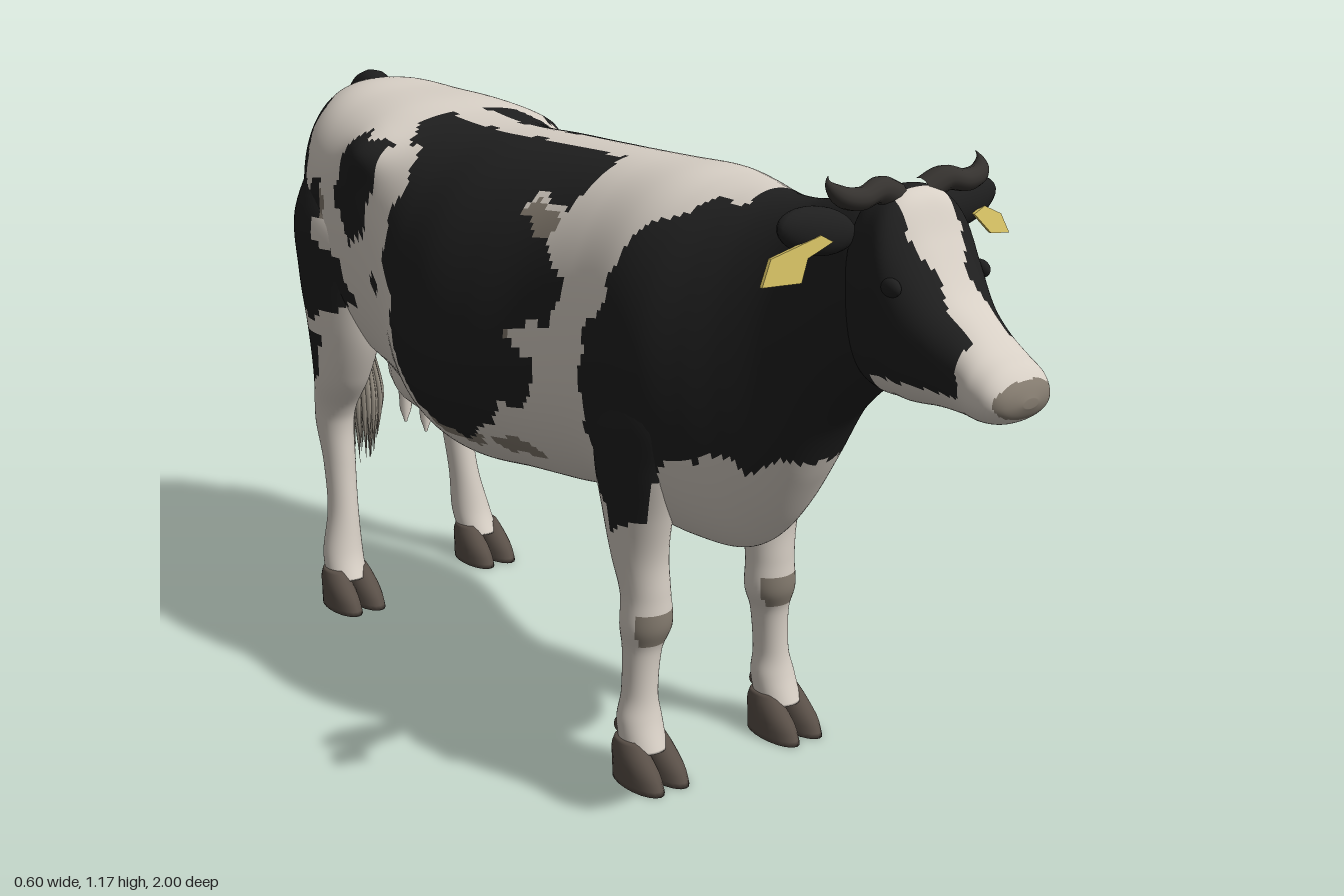
import * as THREE from 'three';

const mat = (name, color) => Object.assign(new THREE.MeshStandardMaterial({ color }), { name });
const white = mat('white hide', 0xd6cec4), black = mat('black hide', 0x1f1f1f), grey = mat('grey skin', 0x847b6f);
const hoofMat = mat('hoof horn', 0x5a5048), tagMat = mat('yellow tag', 0xcdb95f);
const hairMat = mat('tail hair', 0xa0988b), hornMat = mat('dark horn', 0x35322f);
const hide = [white, black, grey];
const W = 0, B = 1, G = 2;

// Coat patches as outlines in side projection: [z, y]
const patches = [
  // neck and shoulder
  [[.8, 1.3], [.44, 1.3], [.42, 1.07], [.35, 1.06], [.25, .98], [.25, .9], [.2, .82], [.19, .74], [.2, .58], [.25, .48],
    [.31, .5], [.34, .57], [.4, .55], [.46, .62], [.54, .65], [.8, .6]],
  // flank
  [[.08, 1.2], [-.5, 1.2], [-.5, 1.06], [-.42, 1.03], [-.4, .98], [-.41, .82], [-.34, .77], [-.35, .69], [-.28, .58],
    [-.16, .54], [-.1, .57], [-.02, .64], [.04, .65], [.07, .74], [-.02, .78], [.01, .8], [.11, .82], [.13, .9],
    [.06, .94], [-.04, .98], [-.02, 1.02], [.08, 1.0]],
  // hip
  [[-.48, 1.03], [-.56, 1.05], [-.61, 1], [-.63, .9], [-.58, .82], [-.53, .85], [-.49, .93]],
  // rump and thigh
  [[-.6, .7], [-.64, .77], [-.72, .82], [-.7, .88], [-.68, .95], [-.75, .9], [-.8, 1], [-.83, 1.07], [-.95, 1.07],
    [-.95, .62], [-.8, .66], [-.75, .63], [-.68, .66]],
  // above the hock
  [[-.72, .6], [-.9, .61], [-.9, .45], [-.79, .47], [-.75, .53]],
];
const greySpots = [[.01, .975, .05, .03], [-.04, .79, .04, .02], [-.02, .555, .06, .018], [-.17, .55, .07, .018], [-.7, .9, .02, .04]];

function inside(poly, z, y) {
  let hit = false;
  poly.forEach(([az, ay], i) => {
    const [bz, by] = poly[(i + 1) % poly.length];
    if ((ay > y) !== (by > y) && z < az + (bz - az) * (y - ay) / (by - ay)) hit = !hit;
  });
  return hit;
}

function coat(p) {
  const z = p.z + .006 * Math.sin(p.y * 70), y = p.y + .006 * Math.sin(p.z * 80), x = Math.abs(p.x);
  // spine, between the thighs, and fronts of the forelegs stay white
  if (x < .04 + .006 * Math.sin(p.z * 40) && p.y > 1 && z < .4 && z > -.87) return W;
  if (z < -.6 && ((y < .95 && x < .075) || (y < .62 && x < .15))) return W;
  if (z > .2 && y < .63 + .02 * Math.cos(x * 45) && x < .185) return W;
  if (Math.hypot(z + .48, y - .765) < .02) return B;
  if (patches.some(q => inside(q, z, y))) return B;
  return greySpots.some(([a, b, r, s]) => ((z - a) / r) ** 2 + ((y - b) / s) ** 2 < 1) ? G : W;
}

// Smooth interpolation through the rows of a table
function sample(table, u) {
  const f = Math.min(u * (table.length - 1), table.length - 1.000001), i = Math.floor(f), t = f - i;
  const row = k => table[Math.max(0, Math.min(table.length - 1, k))];
  return table[0].map((_, c) => {
    const [a, b, d, e] = [row(i - 1)[c], row(i)[c], row(i + 1)[c], row(i + 2)[c]];
    return b + .5 * t * (d - a + t * (2 * a - 5 * b + 4 * d - e + t * (3 * (b - d) + e - a)));
  });
}

// Closed skin over a rows x cols grid, painted cell by cell
function skin(name, rows, cols, point, paint, materials) {
  const pts = [], faces = materials.map(() => []);
  for (let i = 0; i <= rows; i++) for (let j = 0; j < cols; j++) pts.push(point(i / rows, j / cols * Math.PI * 2));
  const ends = [0, rows].map(i => {
    const c = new THREE.Vector3();
    for (let j = 0; j < cols; j++) c.addScaledVector(pts[i * cols + j], 1 / cols);
    return pts.push(c) - 1;
  });
  let volume = 0;
  const v = new THREE.Vector3();
  const cell = (...corners) => {
    const centre = new THREE.Vector3();
    corners.forEach(c => centre.addScaledVector(pts[c], 1 / corners.length));
    const list = faces[paint(centre)];
    for (let n = 2; n < corners.length; n++) {
      const [a, b, c] = [corners[0], corners[n - 1], corners[n]];
      volume += pts[a].dot(v.crossVectors(pts[b], pts[c]));
      list.push([a, b, c]);
    }
  };
  for (let j = 0; j < cols; j++) {
    const k = (j + 1) % cols;
    for (let i = 0; i < rows; i++) cell(i * cols + j, i * cols + k, (i + 1) * cols + k, (i + 1) * cols + j);
    cell(ends[0], k, j);
    cell(ends[1], rows * cols + j, rows * cols + k);
  }
  const geo = new THREE.BufferGeometry().setFromPoints(pts), index = [];
  faces.forEach((list, m) => {
    geo.addGroup(index.length, list.length * 3, m);
    list.forEach(([a, b, c]) => index.push(...(volume > 0 ? [a, b, c] : [a, c, b])));
  });
  geo.setIndex(index);
  geo.computeVertexNormals();
  const mesh = new THREE.Mesh(geo, materials);
  mesh.name = name;
  return mesh;
}

const pow = (n, e) => Math.sign(n) * Math.abs(n) ** e;

// Cross-sections along z: [z, top, bottom, half width, height of widest point, roundness]
const along = (table, bump) => (u, a) => {
  const [z, top, bot, w, mid, e] = sample(table, u), s = Math.sin(a);
  const p = new THREE.Vector3(w * pow(Math.cos(a), e), mid + (s > 0 ? top - mid : mid - bot) * pow(s, e), z);
  return bump ? bump(p) : p;
};
// Cross-sections down a limb: [y, x, z, half width, half depth]
const down = (table, side, shift = 0) => (u, a) => {
  const [y, x, z, hx, hz] = sample(table, u);
  return new THREE.Vector3(side * (x + hx * Math.cos(a)), y, z + hz * Math.sin(a) + shift * (1 - THREE.MathUtils.smoothstep(y, .3, .75)));
};

// Tube through points, radius interpolated along a list
function tapered(name, points, radii, material, n = 24, sides = 12) {
  const curve = new THREE.CatmullRomCurve3(points.map(p => new THREE.Vector3(...p)));
  const geo = new THREE.TubeGeometry(curve, n, 1, sides), pos = geo.attributes.position, p = new THREE.Vector3();
  for (let k = 0; k < pos.count; k++) {
    const u = Math.floor(k / (sides + 1)) / n, c = curve.getPointAt(u);
    p.fromBufferAttribute(pos, k).sub(c).multiplyScalar(sample(radii.map(r => [r]), u)[0]).add(c);
    pos.setXYZ(k, p.x, p.y, p.z);
  }
  const mesh = new THREE.Mesh(geo, material);
  mesh.name = name;
  return mesh;
}

function ball(name, material, [x, y, z], [sx, sy, sz], tilt = 0) {
  const mesh = new THREE.Mesh(new THREE.SphereGeometry(1, 20, 14), material);
  mesh.name = name;
  mesh.position.set(x, y, z);
  mesh.scale.set(sx, sy, sz);
  mesh.rotation.z = tilt;
  return mesh;
}

const bodyTable = [[-.905, 1, .95, .02, .98, 1], [-.9, 1.05, .85, .075, .97, .95], [-.87, 1.085, .72, .15, .92, .9],
  [-.8, 1.1, .6, .205, .88, .85], [-.7, 1.095, .54, .23, .9, .82], [-.58, 1.09, .5, .232, .92, .8], [-.46, 1.075, .46, .245, .82, .85],
  [-.34, 1.07, .435, .285, .73, .95], [-.22, 1.075, .435, .302, .7, .95], [-.1, 1.08, .45, .283, .7, .95], [.02, 1.085, .46, .25, .72, .92],
  [.14, 1.09, .475, .235, .75, .9], [.25, 1.095, .45, .232, .78, .9], [.33, 1.09, .44, .22, .78, .95], [.4, 1.085, .445, .185, .78, 1],
  [.46, 1.08, .5, .15, .8, 1], [.53, 1.085, .6, .115, .85, .95], [.6, 1.105, .72, .1, .9, .9], [.68, 1.12, .8, .095, .96, .9],
  [.74, 1.11, .84, .08, .98, .9]];
const headTable = [[.665, 1.08, .9, .05, 1, 1], [.69, 1.13, .83, .09, 1, .85], [.73, 1.145, .815, .1, .99, .8],
  [.765, 1.13, .815, .105, 1, .8], [.8, 1.07, .815, .1, .96, .8], [.85, 1, .82, .083, .92, .85], [.9, .96, .82, .072, .89, .9],
  [.94, .93, .82, .074, .87, .9], [.97, .912, .825, .068, .865, .9], [.99, .89, .838, .05, .862, .95], [1, .87, .855, .015, .862, 1]];
const frontLegTable = [[.85, .13, .28, .03, .06], [.72, .155, .27, .068, .11], [.6, .158, .26, .066, .095], [.5, .155, .255, .056, .072],
  [.42, .15, .255, .05, .055], [.35, .145, .265, .046, .045], [.29, .145, .267, .049, .045], [.24, .15, .262, .036, .036],
  [.16, .155, .262, .033, .034], [.11, .158, .265, .042, .04], [.06, .16, .28, .042, .045]];
const hindLegTable = [[.98, .13, -.75, .05, .08], [.85, .145, -.735, .097, .13], [.72, .15, -.745, .083, .125], [.6, .16, -.745, .066, .1],
  [.5, .165, -.765, .054, .07], [.43, .165, -.8, .042, .052], [.38, .165, -.81, .038, .045], [.3, .165, -.8, .033, .037],
  [.2, .17, -.785, .032, .035], [.11, .18, -.775, .042, .042], [.06, .185, -.755, .042, .045]];

// Leg with two wedge-shaped claws and a pair of dewclaws
function leg(name, table, side, shift, footX, footZ, paint) {
  const g = new THREE.Group();
  g.name = name;
  g.add(skin('leg', 84, 36, down(table, side, shift), paint, hide));
  for (const s of [-1, 1]) {
    const x = footX + s * .028, z = footZ + shift;
    const claw = [[.08, x, z - .03, .018, .03], [.06, x, z - .022, .025, .045], [.03, x, z - .005, .029, .06], [0, x, z + .002, .03, .067]];
    g.add(skin('claw', 8, 20, down(claw, side), () => 0, [hoofMat]));
    g.add(ball('dewclaw', hoofMat, [side * (footX + s * .02), .09, z - .064], [.01, .015, .011]));
  }
  return g;
}

export function createModel() {
  const cow = new THREE.Group();
  cow.name = 'cow';

  // Trunk and neck, with raised hip bones
  const hips = p => {
    const d = Math.exp(-(((p.z + .52) / .06) ** 2) - ((p.y - 1.02) / .05) ** 2);
    p.x += Math.sign(p.x) * .035 * d * Math.min(1, Math.abs(p.x) / .15);
    return p;
  };
  cow.add(skin('body', 220, 144, along(bodyTable, hips), coat, hide));

  // Head: dark cheeks, white blaze and muzzle, grey nose
  const face = p => {
    const x = Math.abs(p.x), wob = .006 * Math.sin(p.y * 60);
    if (p.z > .945 && (x / .062) ** 2 + ((p.y - .866) / .03) ** 2 < 1) return G;
    if (p.z > .915 + wob || (p.y < .855 + wob && p.z > .74)) return W;
    return p.z > .745 && x < .037 + .22 * Math.max(0, p.y - 1.02) + wob ? W : B;
  };
  cow.add(skin('head', 90, 72, along(headTable), face, hide));

  for (const s of [-1, 1]) {
    const side = s > 0 ? 'left' : 'right';
    cow.add(ball('eye', black, [s * .095, 1.01, .795], [.011, .015, .02]));
    cow.add(ball('nostril', black, [s * .034, .878, .983], [.012, .008, .008]));
    cow.add(ball(side + 'Ear', black, [s * .152, 1.085, .69], [.08, .038, .024], s * .22));
    cow.add(tapered(side + 'Horn', [[s * .03, 1.13, .73], [s * .07, 1.145, .735], [s * .11, 1.138, .74], [s * .145, 1.145, .735],
      [s * .16, 1.165, .72], [s * .155, 1.175, .715]], [.022, .022, .018, .018, .014, 0], hornMat));
    cow.add(leg(side + 'FrontLeg', frontLegTable, s, 0, .16, .3,
      p => p.z > .29 && Math.abs(p.y - .288) < .032 ? G : coat(p)));
    cow.add(leg(side + 'HindLeg', hindLegTable, s, -.025 * s, .185, -.73, coat));
    for (const z of [-.595, -.675]) cow.add(tapered('teat', [[s * .055, .48, z], [s * .057, .43, z], [s * .058, .395, z]], [.018, .014, .012, .003], white, 10));
  }
  cow.add(ball('udder', white, [0, .53, -.6], [.115, .105, .14]));

  // Ear tags, slanting back and outward
  const tags = { leftEarTag: [[.15, 1.075], [.185, 1.04], [.243, 1.03], [.235, 1.06], [.19, 1.08]],
    rightEarTag: [[-.275, 1.02], [-.215, 1.022], [-.195, 1.055], [-.15, 1.075], [-.165, 1.085], [-.25, 1.058]] };
  for (const [name, outline] of Object.entries(tags)) {
    const shape = new THREE.Shape(outline.map(([x, y]) => new THREE.Vector2(x, y)));
    const geo = new THREE.ExtrudeGeometry(shape, { depth: .006, bevelEnabled: false }), pos = geo.attributes.position;
    for (let k = 0; k < pos.count; k++) pos.setZ(k, pos.getZ(k) + .715 - .5 * (pos.getY(k) - 1.05) - .35 * (Math.abs(pos.getX(k)) - .2));
    geo.computeVertexNormals();
    const tag = new THREE.Mesh(geo, tagMat);
    tag.name = name;
    cow.add(tag);
  }

  // Tail: dark root, white lower part and a loose brush
  cow.add(tapered('tailRoot', [[0, 1.06, -.8], [0, 1.075, -.86], [0, 1.04, -.905], [0, .96, -.925], [0, .84, -.94]], [.03, .036, .034, .028, .022], black));
  cow.add(tapered('tailEnd', [[0, .85, -.939], [0, .66, -.952], [0, .5, -.955], [0, .42, -.955]], [.021, .018, .02, .012], white));
  const brush = new THREE.Group();
  brush.name = 'tailBrush';
  for (let i = 0; i < 44; i++) {
    const a = i * 2.4, r = .045 * Math.sqrt((i + .5) / 44), end = .215 + .1 * ((i * 7 % 11) / 11);
    const at = (k, y) => [k * r * Math.cos(a), y, -.955 + k * r * Math.sin(a)];
    brush.add(tapered('strand', [at(.25, .53), at(.6, .46), at(1, .37), at(.75, end)], [.007, .007, .006, 0], hairMat, 10, 5));
  }
  cow.add(brush);
  return cow;
}
